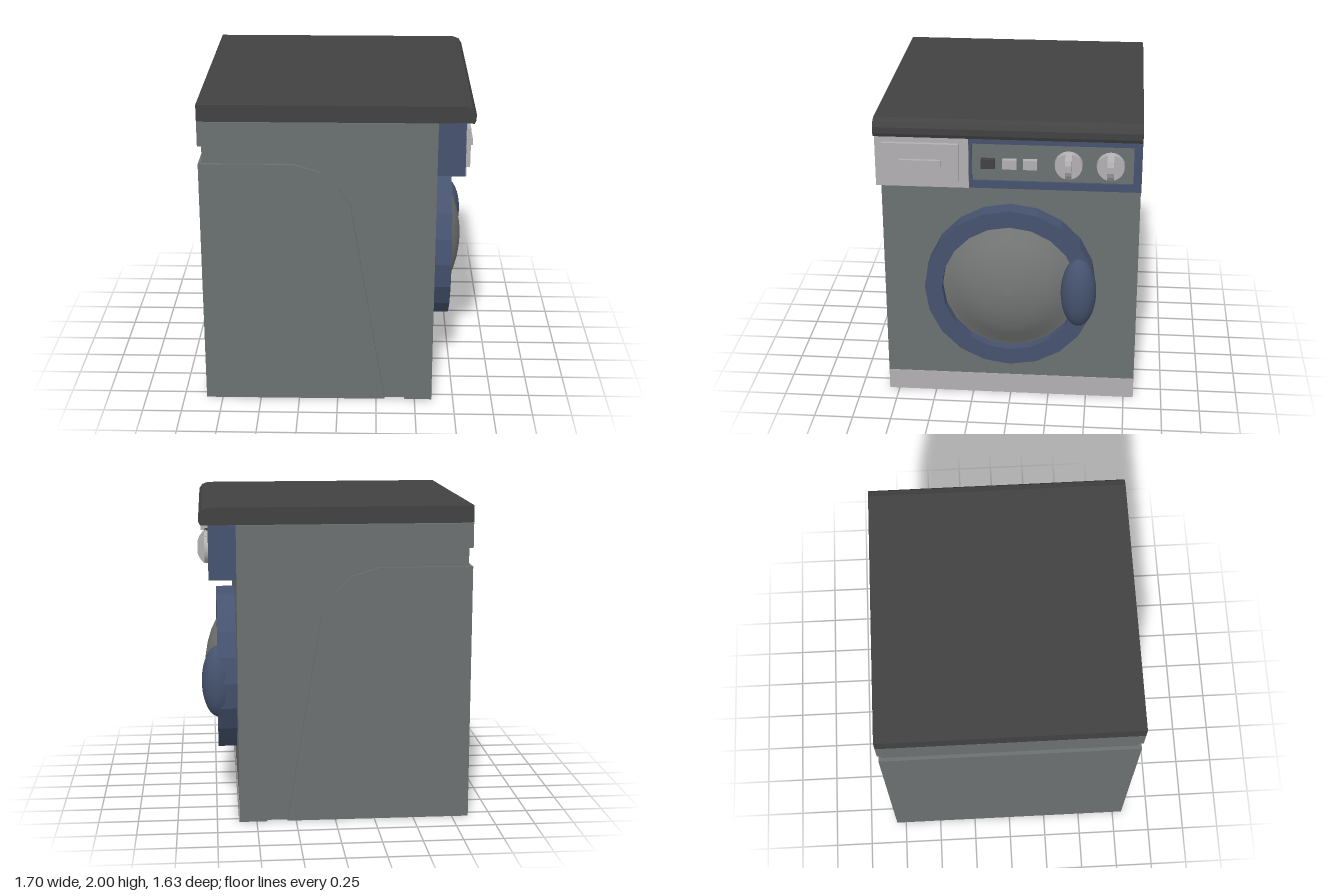
import * as THREE from 'three';

const mat = (name, color) => new THREE.MeshStandardMaterial({ name, color });

export function createModel() {
  const grey = mat('body grey', 0x6b7070);
  const dark = mat('charcoal', 0x424242);
  const blue = mat('slate blue', 0x46536f);
  const light = mat('light grey', 0xb2b0b2);
  const glass = mat('door grey', 0x737674);

  const model = new THREE.Group();
  model.name = 'washingMachine';

  const add = (name, geometry, material) => {
    const mesh = new THREE.Mesh(geometry, material);
    mesh.name = name;
    model.add(mesh);
    return mesh;
  };
  // Box given by its limits on each axis
  const box = (name, material, x0, x1, y0, y1, z0, z1) =>
    add(name, new THREE.BoxGeometry(x1 - x0, y1 - y0, z1 - z0), material)
      .position.set((x0 + x1) / 2, (y0 + y1) / 2, (z0 + z1) / 2);
  const shapeOf = (pts) => new THREE.Shape(pts.map(([x, y]) => new THREE.Vector2(x, y)));
  // Side profile extruded across the full width
  const slab = (name, material, pts) => {
    const g = new THREE.ExtrudeGeometry(shapeOf(pts), { depth: 1.63, bevelEnabled: false });
    g.translate(0, 0, -0.815);
    return add(name, g, material);
  };
  const rect = (z0, z1, y0, y1) => [[-z1, y0], [-z0, y0], [-z0, y1], [-z1, y1]];

  // Body: two full-width shells around a narrower core leave the curved groove
  slab('lowerBody', grey, [[-0.855, 0], [0.305, 0], [0.08, 1.35], [0, 1.475],
    [-0.11, 1.57], [-0.27, 1.62], [-0.855, 1.62]]);
  slab('upperBody', grey, [[0.435, 0], [0.61, 0], [0.61, 1.89], [-0.855, 1.89],
    [-0.855, 1.735], [-0.165, 1.735], [-0.01, 1.69], [0.115, 1.595], [0.185, 1.47]]);
  box('bodyCore', grey, -0.832, 0.6, 0.002, 1.88, -0.795, 0.795);
  box('plinth', light, 0.608, 0.613, 0, 0.14, -0.815, 0.815);

  // Worktop with a rounded front edge
  slab('worktop', dark, [[-0.855, 1.893], [0.825, 1.893], [0.835, 1.915], [0.835, 1.955],
    [0.815, 1.985], [0.775, 2], [-0.855, 2]]);

  // Control panel with a shallow recess
  box('controlPanel', blue, 0.61, 0.762, 1.555, 1.892, -0.815, 0.815);
  const frame = shapeOf(rect(-0.815, 0.815, 1.555, 1.892));
  frame.holes.push(new THREE.Path(rect(-0.765, 0.22, 1.605, 1.845)
    .map(([x, y]) => new THREE.Vector2(x, y))));
  const frameGeo = new THREE.ExtrudeGeometry(frame, { depth: 0.018, bevelEnabled: false });
  frameGeo.rotateY(Math.PI / 2).translate(0.762, 0, 0);
  add('controlFrame', frameGeo, blue);
  box('controlInset', grey, 0.76, 0.766, 1.605, 1.845, -0.765, 0.22);

  // Detergent drawer
  box('drawerFront', light, 0.778, 0.785, 1.555, 1.892, 0.24, 0.815);
  box('drawerPanel', light, 0.78, 0.81, 1.6, 1.845, 0.3, 0.77);
  box('drawerHandle', light, 0.81, 0.83, 1.705, 1.745, 0.405, 0.66);

  // Buttons
  [[0.122, dark], [-0.01, light], [-0.136, light]].forEach(([z, m]) =>
    box('button', m, 0.762, 0.8, 1.69, 1.75, z - 0.043, z + 0.043));

  // Rotary knobs with a raised grip
  for (const z of [-0.37, -0.625]) {
    const dial = new THREE.CylinderGeometry(0.083, 0.088, 0.04, 20).rotateZ(-Math.PI / 2);
    add('knobDial', dial, light).position.set(0.782, 1.72, z);
    const grip = new THREE.ExtrudeGeometry(shapeOf([[0.79, 1.635], [0.81, 1.64], [0.832, 1.67],
      [0.845, 1.7], [0.845, 1.74], [0.832, 1.77], [0.81, 1.8], [0.79, 1.805]]),
    { depth: 0.04, bevelEnabled: false });
    add('knobGrip', grip, light).position.z = z - 0.02;
  }

  // Door: faceted ring, bulging window and oval handle
  const lathe = (pts, segments) =>
    new THREE.LatheGeometry(pts.map(([r, h]) => new THREE.Vector2(r, h)), segments)
      .rotateZ(-Math.PI / 2);
  const ringGeo = lathe([[0.545, 0], [0.545, 0.122], [0.435, 0.122], [0.435, 0.03]], 20).toNonIndexed();
  ringGeo.computeVertexNormals();
  add('doorRing', ringGeo, blue).position.set(0.61, 0.835, -0.005);

  const windowGeo = lathe([[0.437, 0.055], [0.4, 0.07], [0.325, 0.12], [0.25, 0.157],
    [0.165, 0.183], [0.08, 0.198], [0, 0.203]], 40);
  add('doorWindow', windowGeo, glass).position.set(0.61, 0.835, -0.005);

  const handle = add('doorHandle', new THREE.SphereGeometry(1, 28, 20), blue);
  handle.scale.set(0.107, 0.235, 0.113);
  handle.position.set(0.728, 0.832, -0.443);

  return model;
}
